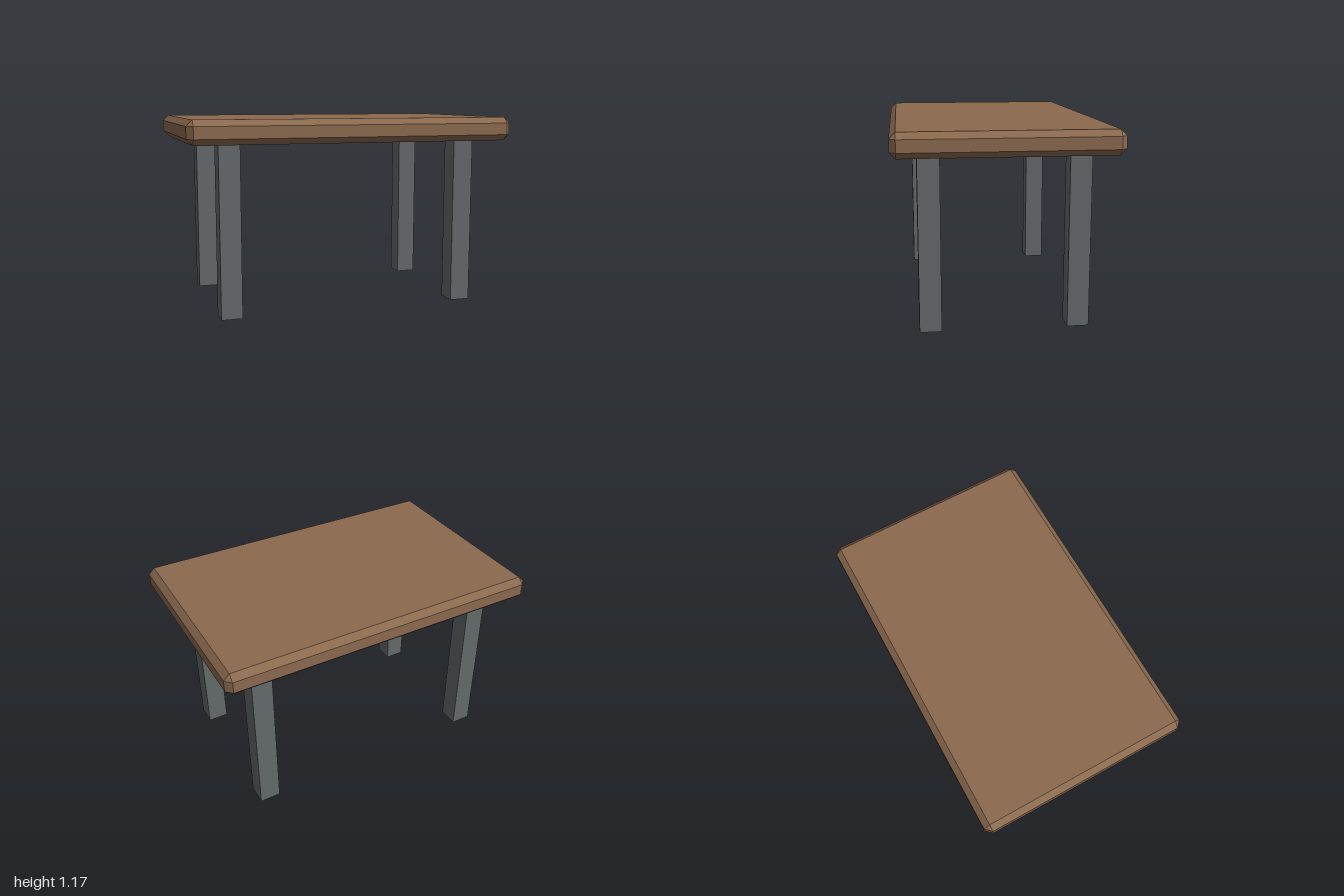
import * as THREE from 'three';
import { ConvexGeometry } from 'three/addons/geometries/ConvexGeometry.js';

const wood = new THREE.MeshStandardMaterial({ name: 'brown wood', color: 0x8b6a4f });
const metal = new THREE.MeshStandardMaterial({ name: 'grey metal', color: 0x64696b });

// Box with every edge and corner chamfered by c
function chamferedBox(w, h, d, c) {
  const [x, y, z] = [w / 2, h / 2, d / 2];
  const points = [];
  for (const sx of [-1, 1]) for (const sy of [-1, 1]) for (const sz of [-1, 1]) {
    points.push(
      new THREE.Vector3(sx * x, sy * (y - c), sz * (z - c)),
      new THREE.Vector3(sx * (x - c), sy * y, sz * (z - c)),
      new THREE.Vector3(sx * (x - c), sy * (y - c), sz * z),
    );
  }
  return new ConvexGeometry(points);
}

export function createModel() {
  const table = new THREE.Group();
  table.name = 'table';

  // Tabletop slab
  const bottom = 1.03, thickness = 0.143;
  const top = new THREE.Mesh(chamferedBox(2, thickness, 1.28, 0.036), wood);
  top.name = 'tabletop';
  top.position.y = bottom + thickness / 2;
  table.add(top);

  // Four square legs
  const legGeometry = new THREE.BoxGeometry(0.127, bottom, 0.127);
  for (const [zName, sz] of [['front', 1], ['back', -1]]) {
    for (const [xName, sx] of [['Left', 1], ['Right', -1]]) {
      const leg = new THREE.Mesh(legGeometry, metal);
      leg.name = `${zName}${xName}Leg`;
      leg.position.set(sx * 0.743, bottom / 2, sz * 0.43);
      table.add(leg);
    }
  }
  return table;
}
